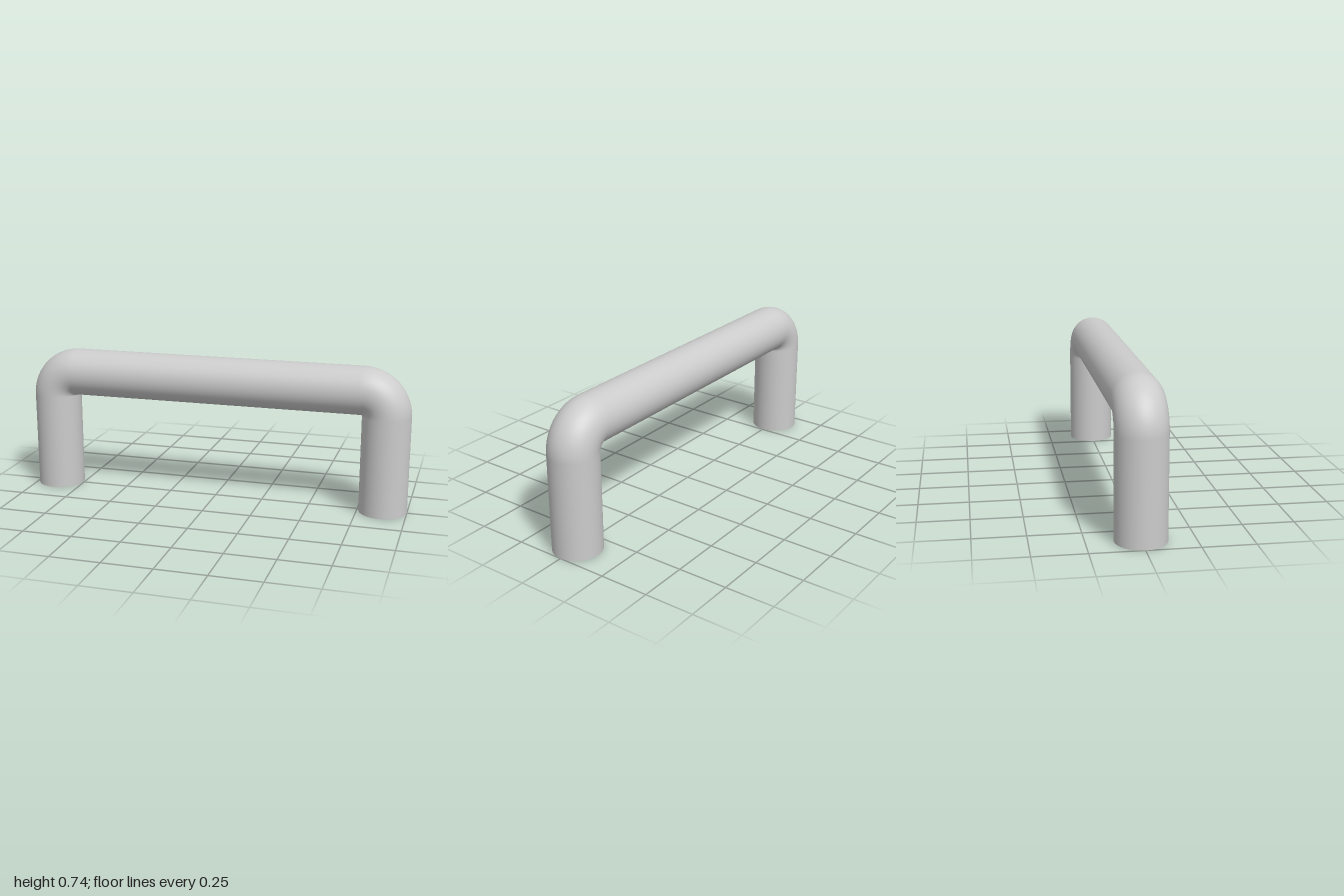
import * as THREE from 'three';

const R = 0.122;          // tube radius
const BEND = 0.123;       // centreline radius of the elbows
const HEIGHT = 0.742;     // overall height
const SEGS = 64;

export function createModel() {
  const group = new THREE.Group();
  const material = new THREE.MeshStandardMaterial({ color: 0xcccccc });
  const add = (name, geometry, x, y) => {
    const mesh = new THREE.Mesh(geometry, material);
    mesh.name = name;
    mesh.position.set(x, y, 0);
    group.add(mesh);
    return mesh;
  };

  const legX = 1 - R;
  const bendX = legX - BEND;
  const legTop = HEIGHT - R - BEND;

  // Horizontal grip
  const grip = new THREE.CylinderGeometry(R, R, bendX * 2, SEGS, 1, true).rotateZ(Math.PI / 2);
  add('grip', grip, 0, HEIGHT - R);

  // Leg, foot cap and elbow on each side
  for (const [side, s] of [['left', 1], ['right', -1]]) {
    add(side + 'Leg', new THREE.CylinderGeometry(R, R, legTop, SEGS, 1, true), s * legX, legTop / 2);
    add(side + 'Foot', new THREE.CircleGeometry(R, SEGS).rotateX(Math.PI / 2), s * legX, 0);
    const elbow = new THREE.TorusGeometry(BEND, R, SEGS, 24, Math.PI / 2);
    if (s < 0) elbow.rotateZ(Math.PI / 2);
    add(side + 'Elbow', elbow, s * bendX, legTop);
  }
  return group;
}
